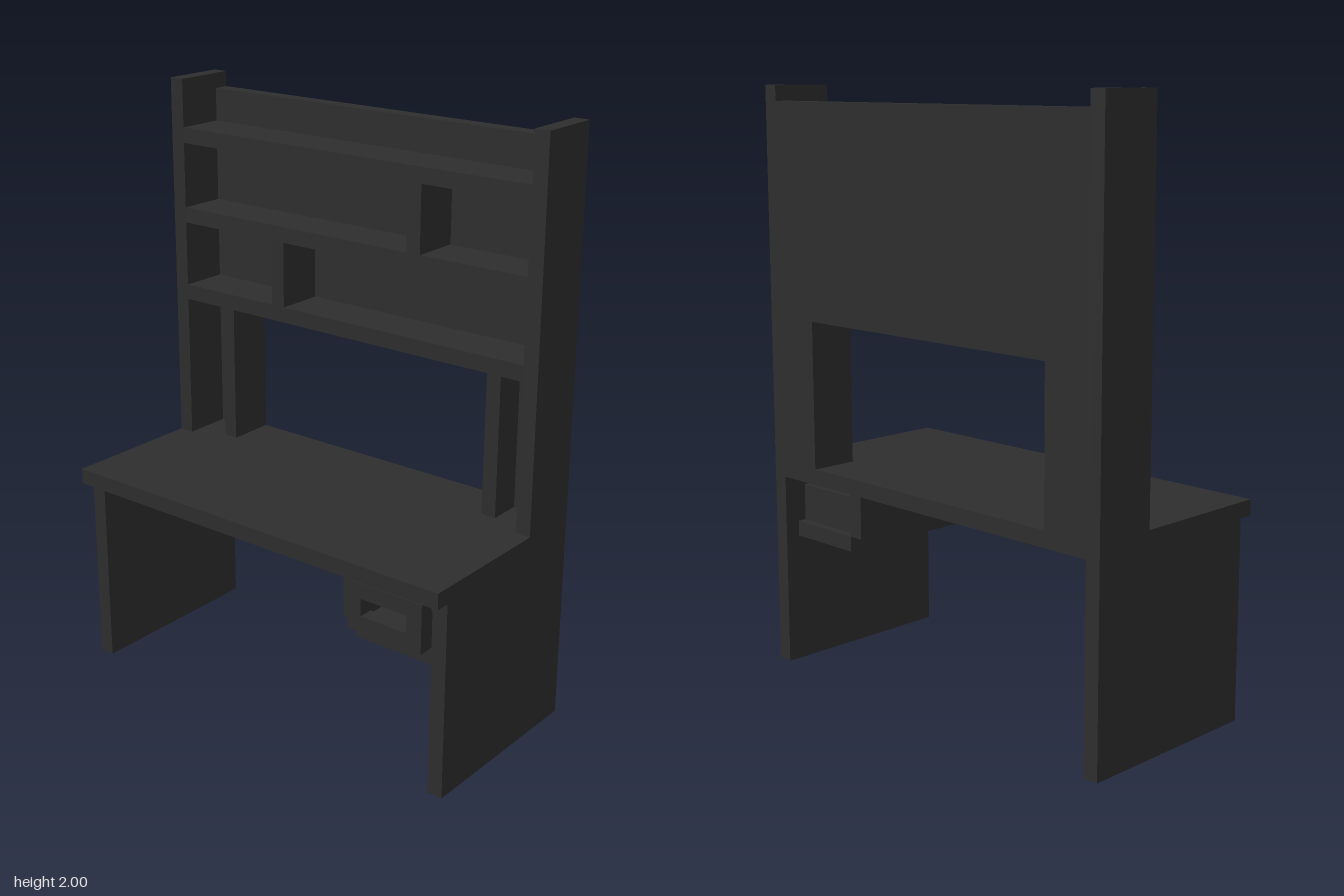
import * as THREE from 'three';

export function createModel() {
  const group = new THREE.Group();
  const charcoal = new THREE.MeshStandardMaterial({ color: 0x2e2e2e });
  charcoal.name = 'charcoal';

  // Adds a board from its min and max extents
  const board = (name, [x0, x1], [y0, y1], [z0, z1]) => {
    const mesh = new THREE.Mesh(new THREE.BoxGeometry(x1 - x0, y1 - y0, z1 - z0), charcoal);
    mesh.position.set((x0 + x1) / 2, (y0 + y1) / 2, (z0 + z1) / 2);
    mesh.name = name;
    group.add(mesh);
  };

  // Adds a board facing z, cut from a rectangle with one rectangular hole
  const rect = (path, [x0, x1], [y0, y1]) =>
    path.moveTo(x0, y0).lineTo(x1, y0).lineTo(x1, y1).lineTo(x0, y1).closePath();
  const cutBoard = (name, xs, ys, [z0, z1], holeXs, holeYs) => {
    const shape = new THREE.Shape();
    rect(shape, xs, ys);
    const hole = new THREE.Path();
    rect(hole, holeXs, holeYs);
    shape.holes.push(hole);
    const geometry = new THREE.ExtrudeGeometry(shape, { depth: z1 - z0, bevelEnabled: false });
    const mesh = new THREE.Mesh(geometry, charcoal);
    mesh.position.z = z0;
    mesh.name = name;
    group.add(mesh);
  };

  const W = 0.748, IN = 0.695;
  const BACK = -0.36, INNER = -0.307, SHELF = -0.14, LEG = 0.307, FRONT = 0.357;
  const DESK0 = 0.67, DESK1 = 0.724;

  // Desk top
  board('deskTop', [-W, W], [DESK0, DESK1], [BACK, FRONT]);

  // Legs, tower sides and posts beside the opening
  for (const s of [-1, 1]) {
    const span = (a, b) => (s > 0 ? [a, b] : [-b, -a]);
    const side = s > 0 ? 'left' : 'right';
    board(side + 'Leg', span(IN, W), [0, DESK0], [BACK, LEG]);
    board(side + 'TowerSide', span(IN, W), [DESK1, 2], [BACK, SHELF]);
    board(side + 'OpeningPost', span(0.53, 0.582), [DESK1, 1.228], [INNER, -0.195]);
    board(side + 'BackStrip', span(0.53, IN), [DESK1, 1.228], [BACK, INNER]);
  }

  // Back panel above the opening
  board('upperBackPanel', [-IN, IN], [1.228, 1.948], [BACK, INNER]);

  // Shelves and their dividers
  for (const y of [1.228, 1.505, 1.783])
    board('shelf', [-IN, IN], [y, y + 0.053], [INNER, SHELF]);
  board('lowerDivider', [-0.305, -0.253], [1.281, 1.505], [INNER, SHELF]);
  board('upperDivider', [0.25, 0.302], [1.558, 1.783], [INNER, SHELF]);

  // Drawer housing under the desk
  board('drawerHousingSide', [0.36, 0.413], [0.502, DESK0], [INNER, LEG]);
  board('drawerHousingFloor', [0.413, IN], [0.449, 0.502], [INNER, LEG]);

  // Drawer front with finger slot, and the tray behind it
  cutBoard('drawerFront', [0.416, 0.691], [0.503, 0.668], [LEG, FRONT], [0.465, 0.635], [0.557, 0.616]);
  board('drawerTrayFloor', [0.416, 0.691], [0.503, 0.53], [-0.28, LEG]);
  for (const x of [0.416, 0.661])
    board('drawerTraySide', [x, x + 0.03], [0.53, 0.63], [-0.28, LEG]);
  board('drawerTrayBack', [0.446, 0.661], [0.53, 0.63], [-0.28, -0.25]);

  return group;
}
